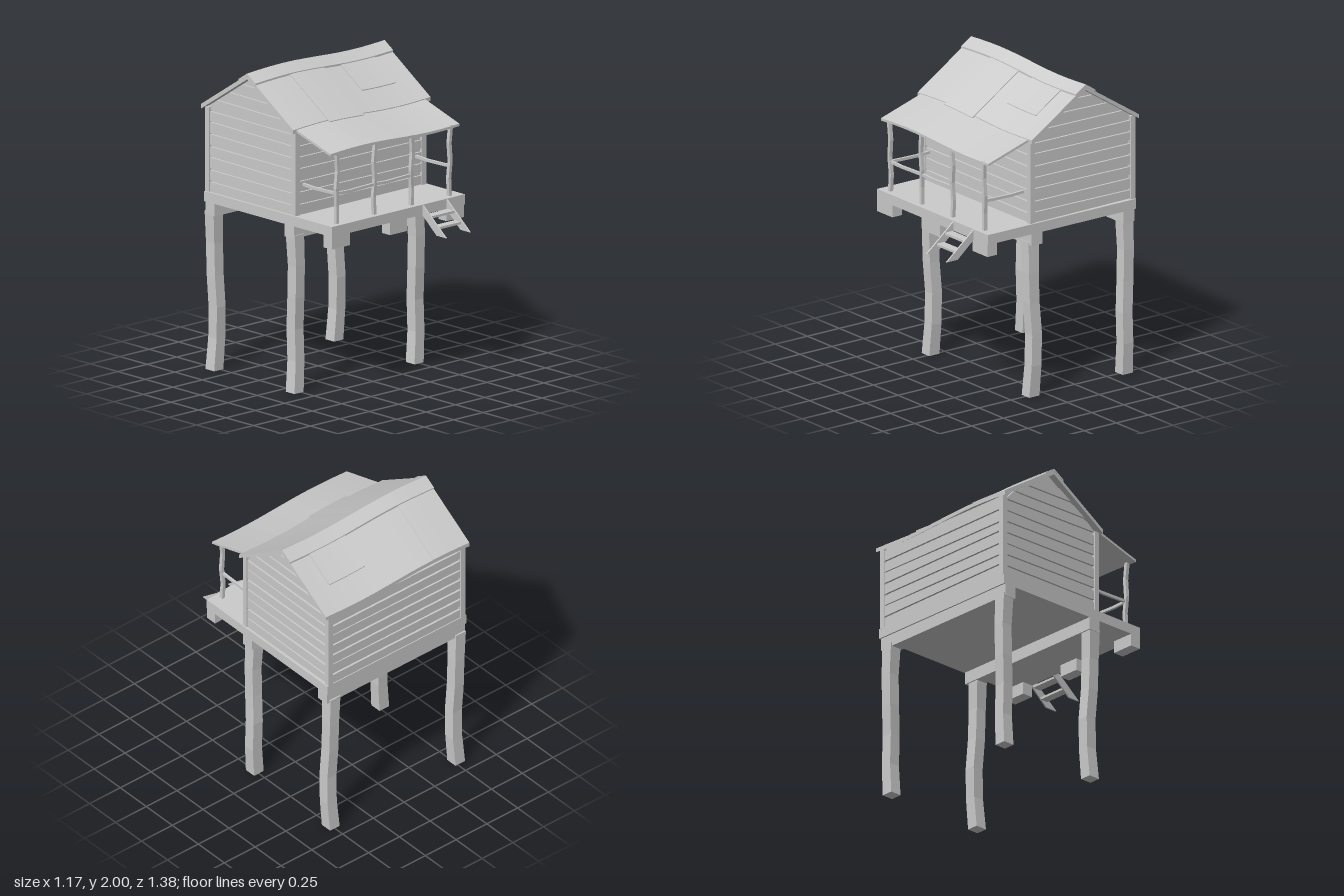
import * as THREE from 'three';

const mat = new THREE.MeshStandardMaterial({ color: 0xcccccc, flatShading: true });
const RIDGE_Z = -0.27, SLOPE = 0.646;

function add(parent, name, geo, x = 0, y = 0, z = 0) {
  const m = new THREE.Mesh(geo, mat);
  m.name = name;
  m.position.set(x, y, z);
  parent.add(m);
  return m;
}

// Box given by its min and max on each axis
function block(parent, name, x0, x1, y0, y1, z0, z1) {
  return add(parent, name, new THREE.BoxGeometry(x1 - x0, y1 - y0, z1 - z0),
    (x0 + x1) / 2, (y0 + y1) / 2, (z0 + z1) / 2);
}

// Crooked upright: each ring, bottom to top, is shifted by [dx, dz] and scaled
function crookedPost(parent, name, x, z, y0, y1, w, d, rings) {
  const n = rings.length - 1, h = y1 - y0;
  const geo = new THREE.BoxGeometry(w, h, d, 1, n, 1), p = geo.attributes.position;
  for (let i = 0; i < p.count; i++) {
    const [dx, dz, s = 1] = rings[Math.round((p.getY(i) / h + 0.5) * n)];
    p.setX(i, p.getX(i) * s + dx);
    p.setZ(i, p.getZ(i) * s + dz);
  }
  geo.computeVertexNormals();
  return add(parent, name, geo, x, (y0 + y1) / 2, z);
}

// Sagging roof sheet whose top runs from (zHigh, yHigh) down to (zLow, yLow)
const sag = x => 0.012 * Math.cos((x + 0.28) * 5.2);
function roofSheet(parent, name, x0, x1, zHigh, yHigh, zLow, yLow, t) {
  const geo = new THREE.BoxGeometry(x1 - x0, t, 1, 12, 1, 1), p = geo.attributes.position;
  const front = zLow > zHigh;
  for (let i = 0; i < p.count; i++) {
    const x = p.getX(i) + (x0 + x1) / 2;
    const k = front ? p.getZ(i) + 0.5 : 0.5 - p.getZ(i);
    p.setXYZ(i, x, yHigh + (yLow - yHigh) * k + p.getY(i) - t / 2 + sag(x), zHigh + (zLow - zHigh) * k);
  }
  geo.computeVertexNormals();
  return add(parent, name, geo);
}

// Uneven boards on one wall; the gable walls narrow toward the ridge
function siding(parent, name, half, depthFromCentre, angle, gable) {
  const wall = new THREE.Group();
  wall.name = name;
  wall.position.set(0, 0, RIDGE_Z);
  wall.rotation.y = angle;
  parent.add(wall);
  const pitch = 0.076, rows = gable ? 10 : 7;
  const limit = y => gable ? Math.min(half, (1.945 - y) / SLOPE) : half;
  for (let r = 0; r < rows; r++) {
    const tilt = 0.007 * Math.sin(r * 2.3 + angle * 1.7);
    const y0 = 1.148 + r * pitch, y1 = y0 + pitch - 0.014;
    const a = limit(y0), b = Math.max(limit(y1), 0.005);
    const k = Math.min(1, b / 0.3);
    const shape = new THREE.Shape([
      new THREE.Vector2(-a, y0 - 0.004), new THREE.Vector2(a, y0 + tilt * k),
      new THREE.Vector2(b, y1 - 0.005), new THREE.Vector2(-b, y1 + tilt * k * 0.6)]);
    add(wall, 'board', new THREE.ExtrudeGeometry(shape, { depth: 0.016, bevelEnabled: false }),
      0, 0, depthFromCentre - 0.002);
  }
}

export function createModel() {
  const model = new THREE.Group();
  model.name = 'stiltHut';

  // Stilts
  const bends = [[-0.004, 0, 1.05], [0.012, -0.006], [0.010, -0.012], [0.004, 0.002], [0.003, 0.008], [-0.006, 0.004, 1.08]];
  for (const sx of [-1, 1]) for (const z of [0.095, -0.635]) {
    const side = z > 0 ? 1 : -0.8;
    crookedPost(model, 'stilt', sx < 0 ? -0.517 : 0.503, z, 0, 1.02, 0.074, 0.076,
      bends.map(([dx, dz, s]) => [dx, dz * side, s]));
  }

  // Platform, cross beams and front support blocks
  block(model, 'deck', -0.565, 0.565, 1.08, 1.145, -0.68, 0.48);
  block(model, 'frontBeam', -0.565, 0.56, 1.0, 1.08, 0.05, 0.135);
  block(model, 'backBeam', -0.565, 0.56, 1.0, 1.08, -0.67, -0.585);
  for (const [x0, x1] of [[-0.565, -0.41], [-0.07, 0.075], [0.41, 0.56]])
    block(model, 'deckBlock', x0, x1, 1.0, 1.08, 0.405, 0.48);

  // House core with gable ends
  const w = 0.39, profile = new THREE.Shape();
  profile.moveTo(-w, 1.14);
  profile.lineTo(w, 1.14);
  profile.lineTo(w, 1.95 - w * SLOPE);
  profile.lineTo(0, 1.95);
  profile.lineTo(-w, 1.95 - w * SLOPE);
  const core = add(model, 'houseWalls',
    new THREE.ExtrudeGeometry(profile, { depth: 1.07, bevelEnabled: false }), -0.535, 0, RIDGE_Z);
  core.rotation.y = Math.PI / 2;

  // Siding boards and corner boards
  siding(model, 'frontSiding', 0.52, 0.39, 0, false);
  siding(model, 'backSiding', 0.52, 0.39, Math.PI, false);
  siding(model, 'leftSiding', 0.376, 0.535, Math.PI / 2, true);
  siding(model, 'rightSiding', 0.376, 0.535, -Math.PI / 2, true);
  for (const sx of [-1, 1]) for (const sz of [-1, 1])
    add(model, 'cornerBoard', new THREE.BoxGeometry(0.036, 0.55, 0.036),
      sx * 0.538, 1.415, RIDGE_Z + sz * 0.393);

  // Main roof, ridge cap and repair sheets
  const top = d => 1.975 - SLOPE * d;
  for (const s of [1, -1]) {
    const slab = (name, x0, x1, d0, d1, lift, t) =>
      roofSheet(model, name, x0, x1, RIDGE_Z + s * d0, top(d0) + lift, RIDGE_Z + s * d1, top(d1) + lift, t);
    slab('roofSlope', -0.583, 0.583, 0, 0.418, 0, 0.026);
    slab('ridgeCap', -0.585, 0.585, 0, 0.077, 0.012, 0.014);
    slab('roofPatch', 0.14, 0.43, 0.06, 0.27, 0.006, 0.008);
    if (s > 0) slab('roofPanel', -0.29, 0, 0.06, 0.437, 0.006, 0.01);
    else slab('roofPanel', -0.583, -0.29, 0.06, 0.419, 0.004, 0.01);
  }

  // Porch roof, posts and rails
  roofSheet(model, 'porchRoof', -0.555, 0.54, 0.13, 1.705, 0.457, 1.605, 0.016);
  const postX = [-0.485, -0.165, 0.15, 0.475];
  postX.forEach((x, i) => {
    const f = i % 2 ? -1 : 1;
    crookedPost(model, 'porchPost', x, 0.436, 1.14, 1.6, 0.022, 0.024,
      [[0, 0], [0.004 * f, -0.003], [-0.004 * f, 0.002], [0.006 * f, 0.003], [-0.004 * f, 0.006]]);
  });
  for (let i = 0; i < 2; i++) {
    const rail = crookedPost(model, 'frontRail', 0, 0.436, postX[i], postX[i + 1], 0.018, 0.016,
      [[0, 0], [0.005, 0], [0.002, 0], [0, 0]]);
    rail.rotation.z = -Math.PI / 2;
    rail.position.set((postX[i] + postX[i + 1]) / 2, 1.338, 0.436);
  }
  for (const x of [postX[0], postX[3]]) {
    const rail = crookedPost(model, 'sideRail', x, 0, 0.13, 0.436, 0.016, 0.018,
      [[0, 0], [0, 0.005], [0, 0.003], [0, 0]]);
    rail.rotation.x = Math.PI / 2;
    rail.position.set(x, 1.337, 0.283);
  }

  // Steps: slanted stringers and two treads
  const stringer = new THREE.Shape([
    new THREE.Vector2(-0.48, 1.14), new THREE.Vector2(-0.69, 0.97),
    new THREE.Vector2(-0.605, 0.97), new THREE.Vector2(-0.48, 1.075)]);
  for (const x of [0.207, 0.41]) {
    const m = add(model, 'stepStringer',
      new THREE.ExtrudeGeometry(stringer, { depth: 0.01, bevelEnabled: false }), x, 0, 0);
    m.rotation.y = Math.PI / 2;
  }
  block(model, 'upperTread', 0.215, 0.412, 1.067, 1.082, 0.49, 0.55);
  block(model, 'lowerTread', 0.215, 0.412, 1.008, 1.023, 0.555, 0.612);

  return model;
}
